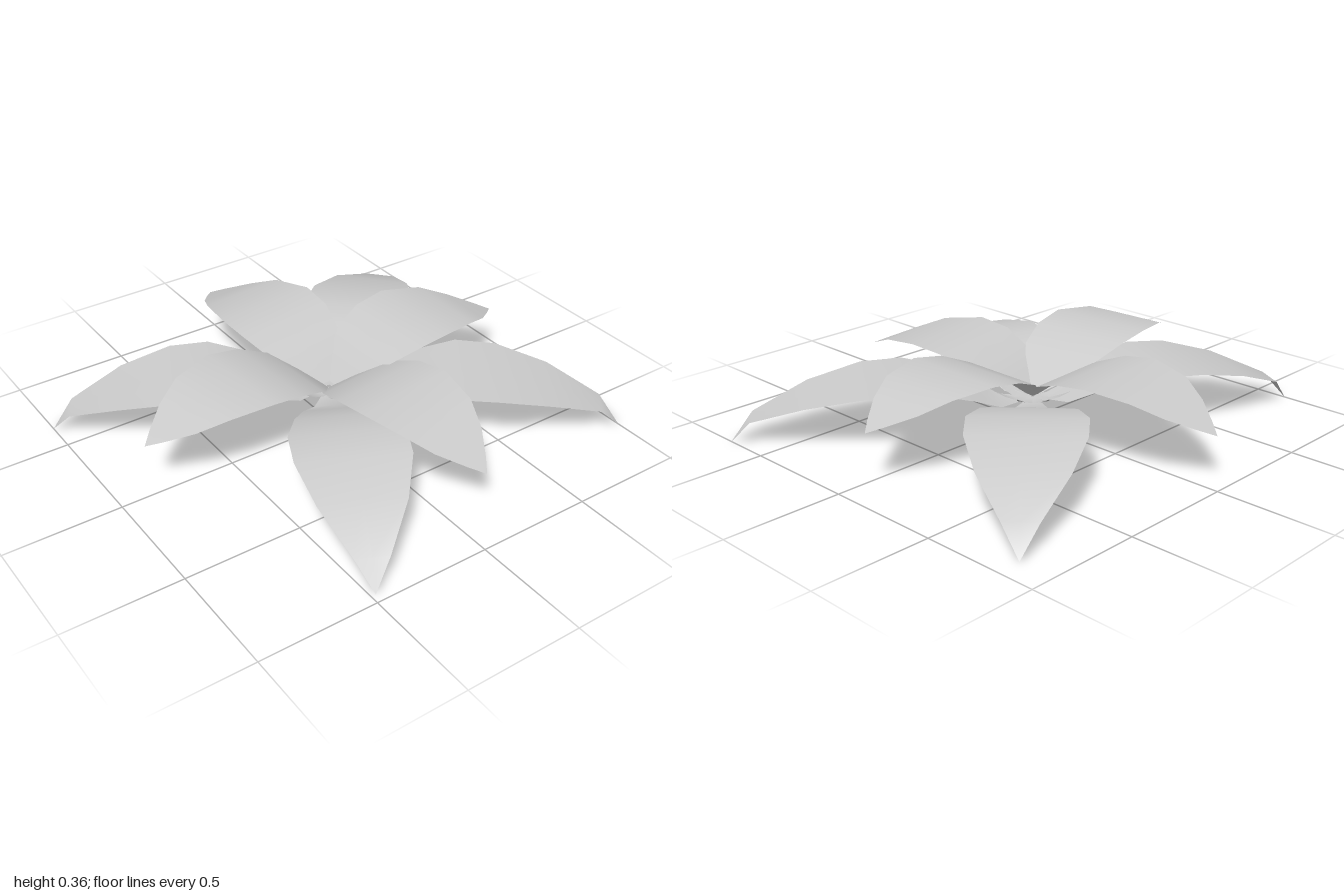
import * as THREE from 'three';

const material = new THREE.MeshStandardMaterial({ color: 0xcccccc, side: THREE.DoubleSide });
const CENTRE = [0.03, -0.07];

// Blade stations from base to tip: [fraction of length, height, half width]
const LOWER = [
  [0.02, 0.135, 0.02], [0.11, 0.126, 0.08], [0.2, 0.18, 0.14], [0.3, 0.225, 0.19], [0.43, 0.25, 0.235],
  [0.57, 0.242, 0.23], [0.75, 0.192, 0.172], [0.93, 0.105, 0.068], [1, 0, 0],
];
const UPPER = [
  [0.02, 0.15, 0.02], [0.1, 0.215, 0.12], [0.2, 0.285, 0.19], [0.34, 0.336, 0.225], [0.5, 0.36, 0.232],
  [0.7, 0.342, 0.19], [0.83, 0.298, 0.13], [0.94, 0.258, 0.05], [1, 0.235, 0],
];
const SMALL = [
  [0.05, 0.14, 0.008], [0.4, 0.135, 0.025], [0.75, 0.16, 0.018], [1, 0.185, 0],
];

// A thin blade, level across its width, running from the centre to a tip
function blade(name, stations, [tipX, tipZ], lift = 0) {
  const dx = tipX - CENTRE[0], dz = tipZ - CENTRE[1];
  const length = Math.hypot(dx, dz);
  const sideX = dz / length, sideZ = -dx / length;
  const positions = [], index = [];
  stations.forEach(([t, y, w], i) => {
    for (let s = -1; s <= 1; s++) {
      positions.push(CENTRE[0] + dx * t + sideX * w * s, y + lift * t, CENTRE[1] + dz * t + sideZ * w * s);
    }
    if (i === 0) return;
    for (let k = 0; k < 2; k++) {
      const a = (i - 1) * 3 + k, b = a + 1, c = a + 3, d = a + 4;
      if (i < stations.length - 1) index.push(a, c, b, b, c, d);
      else index.push(a, c, b); // the last row closes to a point
    }
  });
  // wind every face so that the upper side is the front
  const geometry = new THREE.BufferGeometry();
  geometry.setAttribute('position', new THREE.Float32BufferAttribute(positions, 3));
  geometry.setIndex(index);
  geometry.computeVertexNormals();
  if (geometry.attributes.normal.getY(4) < 0) {
    for (let i = 0; i < index.length; i += 3) [index[i], index[i + 1]] = [index[i + 1], index[i]];
    geometry.setIndex(index);
    geometry.computeVertexNormals();
  }
  const mesh = new THREE.Mesh(geometry, material);
  mesh.name = name;
  return mesh;
}

export function createModel() {
  const model = new THREE.Group();
  model.name = 'leafRosette';

  // Long drooping leaves on the diagonals
  const lower = new THREE.Group();
  lower.name = 'lowerLeaves';
  for (const tip of [[-1, -0.64], [0.9, -0.845], [1, 0.705], [-0.48, 0.963]]) {
    lower.add(blade('lowerLeaf', LOWER, tip));
  }

  // Shorter raised leaves on the axes
  const upper = new THREE.Group();
  upper.name = 'upperLeaves';
  for (const [x, z, lift] of [[-0.03, -0.965, -0.03], [0.91, -0.06, 0], [0.14, 0.83, -0.048], [-0.875, -0.01, 0]]) {
    upper.add(blade('upperLeaf', UPPER, [x, z], lift));
  }

  // Tiny leaves tucked in the heart, under the raised ones
  const heart = new THREE.Group();
  heart.name = 'heartLeaves';
  for (let i = 0; i < 8; i++) {
    const a = (i + 0.5) * Math.PI / 4;
    heart.add(blade('heartLeaf', SMALL, [CENTRE[0] + 0.17 * Math.cos(a), CENTRE[1] + 0.17 * Math.sin(a)]));
  }

  model.add(lower, upper, heart);
  return model;
}
